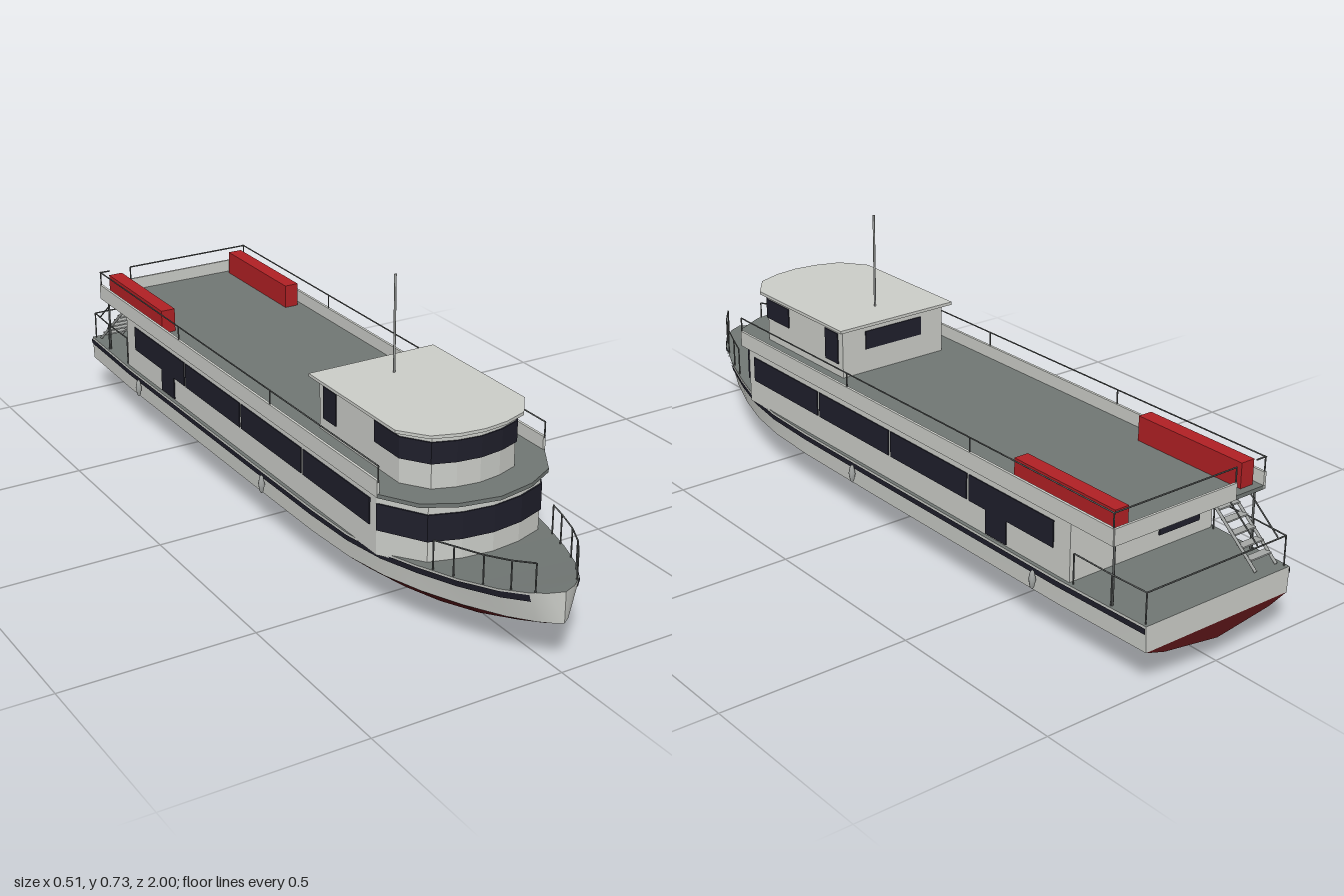
import * as THREE from 'three';

const mat = (name, color, side = THREE.FrontSide) => {
  const m = new THREE.MeshStandardMaterial({ color, side });
  m.name = name;
  return m;
};

export function createModel() {
  const white = mat('white paint', 0xcbcdc8, THREE.DoubleSide);
  const grey = mat('deck grey', 0x707673, THREE.DoubleSide);
  const navy = mat('navy glass', 0x1f1f2b, THREE.DoubleSide);
  const bottomRed = mat('bottom red', 0x561416, THREE.DoubleSide);
  const red = mat('locker red', 0xb02024);
  const rail = mat('rail grey', 0x5a5d5c);
  const metal = mat('metal grey', 0xa4a7a5);

  const model = new THREE.Group();
  const add = (name, geo, m, parent = model) => {
    const mesh = new THREE.Mesh(geo, m);
    mesh.name = name;
    parent.add(mesh);
    return mesh;
  };
  const group = (name) => {
    const g = new THREE.Group();
    g.name = name;
    model.add(g);
    return g;
  };
  // box from its limits
  const box = (name, x0, x1, y0, y1, z0, z1, m, parent) =>
    add(name, new THREE.BoxGeometry(x1 - x0, y1 - y0, z1 - z0), m, parent)
      .position.set((x0 + x1) / 2, (y0 + y1) / 2, (z0 + z1) / 2);
  // thin round bar between two points
  const rod = (name, a, b, r, m, parent) => {
    const p = new THREE.Vector3(...a), q = new THREE.Vector3(...b);
    const mesh = add(name, new THREE.CylinderGeometry(r, r, p.distanceTo(q), 6), m, parent);
    mesh.position.copy(p).add(q).multiplyScalar(0.5);
    mesh.quaternion.setFromUnitVectors(new THREE.Vector3(0, 1, 0), q.sub(p).normalize());
  };
  const path = (name, pts, r, m, parent) => {
    for (let i = 1; i < pts.length; i++) rod(name, pts[i - 1], pts[i], r, m, parent);
  };
  // upright prism from half an outline [x, z], mirrored in x
  const prism = (name, half, y0, y1, m, parent) => {
    const pts = [...half, ...half.filter((p) => p[0] > 0).reverse().map(([x, z]) => [-x, z])];
    const shape = new THREE.Shape(pts.map(([x, z]) => new THREE.Vector2(x, -z)));
    const geo = new THREE.ExtrudeGeometry(shape, { depth: y1 - y0, bevelEnabled: false });
    geo.rotateX(-Math.PI / 2).translate(0, y0, 0);
    add(name, geo, m, parent);
  };
  // smooth strip between two edges
  const strip = (name, a, b, m, parent, flip = false) => {
    const pos = [], idx = [];
    a.forEach((p, i) => {
      pos.push(...p, ...b[i]);
      if (!i) return;
      const k = 2 * i;
      if (flip) idx.push(k - 2, k, k - 1, k - 1, k, k + 1);
      else idx.push(k - 2, k - 1, k, k - 1, k + 1, k);
    });
    const geo = new THREE.BufferGeometry();
    geo.setAttribute('position', new THREE.Float32BufferAttribute(pos, 3));
    geo.setIndex(idx);
    geo.computeVertexNormals();
    add(name, geo, m, parent);
  };

  // hull stations: z, deck half width, deck y, waterline half width, y, chine half width, y, keel y
  const stations = [
    [1, 0, 0.205, 0, 0.126, 0, 0.126, 0.126],
    [0.985, 0.035, 0.204, 0.022, 0.125, 0.01, 0.121, 0.118],
    [0.96, 0.068, 0.202, 0.045, 0.123, 0.024, 0.114, 0.108],
    [0.9, 0.108, 0.195, 0.085, 0.119, 0.05, 0.1, 0.087],
    [0.8, 0.15, 0.185, 0.132, 0.113, 0.088, 0.08, 0.06],
    [0.69, 0.185, 0.177, 0.173, 0.108, 0.12, 0.066, 0.038],
    [0.58, 0.213, 0.17, 0.203, 0.104, 0.145, 0.058, 0.018],
    [0.46, 0.229, 0.167, 0.222, 0.102, 0.163, 0.053, 0.002],
    [0.3, 0.234, 0.166, 0.23, 0.101, 0.17, 0.05, 0],
    [0, 0.235, 0.166, 0.231, 0.1, 0.17, 0.05, 0.002],
    [-0.72, 0.235, 0.166, 0.231, 0.1, 0.17, 0.056, 0.015],
    [-1, 0.225, 0.166, 0.222, 0.1, 0.165, 0.083, 0.06],
  ];
  const hull = group('hull');
  for (const s of [1, -1]) {
    const deck = stations.map((t) => [s * t[1], t[2], t[0]]);
    const water = stations.map((t) => [s * t[3], t[4], t[0]]);
    const chine = stations.map((t) => [s * t[5], t[6], t[0]]);
    const keel = stations.map((t) => [0, t[7], t[0]]);
    strip('hullSide', deck, water, white, hull, s > 0);
    strip('hullBilge', water, chine, bottomRed, hull, s > 0);
    strip('hullBottom', chine, keel, bottomRed, hull, s > 0);
    // painted sheer stripe
    const at = (f) => stations.slice(2).map((t) => [
      s * (t[1] + (t[3] - t[1]) * f + 0.003), t[2] + (t[4] - t[2]) * f, t[0]]);
    strip('sheerStripe', at(0.06), at(0.29), navy, hull, s > 0);
  }
  strip('mainDeck', stations.map((t) => [-t[1], t[2], t[0]]),
    stations.map((t) => [t[1], t[2], t[0]]), grey, hull, true);
  // transom
  strip('transom', [[-0.225, 0.166, -1], [0.225, 0.166, -1]],
    [[-0.222, 0.1, -1], [0.222, 0.1, -1]], white, hull, true);
  strip('transomBottom', [[-0.222, 0.1, -1], [-0.165, 0.1, -1], [0, 0.1, -1], [0.165, 0.1, -1], [0.222, 0.1, -1]],
    [[-0.222, 0.1, -1], [-0.165, 0.083, -1], [0, 0.06, -1], [0.165, 0.083, -1], [0.222, 0.1, -1]], bottomRed, hull, true);

  // passenger cabin
  const cabin = group('cabin');
  const cabinNose = [[0.225, 0.58], [0.157, 0.69], [0.08, 0.717], [0, 0.727]];
  const grow = (pts, d) => pts.map(([x, z]) => [x > 0 ? x + d : 0, z + d]);
  prism('cabinWalls', [[0.225, -0.75], ...cabinNose], 0.164, 0.322, white, cabin);
  prism('cabinFrontWindow', grow(cabinNose, 0.003), 0.23, 0.298, navy, cabin);
  for (const s of [1, -1]) {
    const x0 = s > 0 ? 0.224 : -0.228;
    for (let i = 0; i < 4; i++) {
      const z1 = 0.553 - i * 0.314;
      box('cabinSideWindow', x0, x0 + 0.004, 0.232, 0.3, z1 - 0.305, z1, navy, cabin);
    }
    box('cabinSideDoor', x0, x0 + 0.004, 0.17, 0.24, -0.528, -0.452, navy, cabin);
  }
  box('cabinRearDoor', -0.18, -0.05, 0.2, 0.3, -0.754, -0.748, navy, cabin);

  // upper deck with side walls
  const upper = group('upperDeck');
  prism('upperDeckSlab', [[0.235, -0.9], [0.235, 0.6], [0.18, 0.69], [0.1, 0.733], [0, 0.752]],
    0.321, 0.331, grey, upper);
  for (const s of [1, -1]) {
    const x0 = s > 0 ? 0.23 : -0.237;
    box('upperBulwark', x0, x0 + 0.007, 0.322, 0.365, -0.9, 0.6, white, upper);
    const b = s * 0.195;
    box('redLocker', b - 0.02, b + 0.02, 0.33, 0.396, -0.88, -0.54, red, upper);
    rod('upperRail', [s * 0.234, 0.402, 0.6], [s * 0.234, 0.402, -0.9], 0.002, rail, upper);
    for (const z of [0.6, 0.1, -0.4, -0.897])
      rod('upperRailPost', [s * 0.234, 0.36, z], [s * 0.234, 0.402, z], 0.002, rail, upper);
    rod('deckSupport', [s * 0.218, 0.165, -0.885], [s * 0.218, 0.322, -0.885], 0.003, rail, upper);
  }
  box('rearBulwark', -0.14, 0.235, 0.322, 0.365, -0.902, -0.896, white, upper);
  path('rearRail', [[-0.14, 0.36, -0.897], [-0.14, 0.402, -0.897], [0.234, 0.402, -0.897]], 0.002, rail, upper);
  rod('rearRail', [-0.234, 0.402, -0.897], [-0.205, 0.402, -0.897], 0.002, rail, upper);

  // wheelhouse
  const house = group('wheelhouse');
  const houseNose = [[0.162, 0.575], [0.117, 0.64], [0.06, 0.66], [0, 0.668]];
  prism('wheelhouseWalls', [[0.162, 0.22], ...houseNose], 0.33, 0.465, white, house);
  prism('wheelhouseFrontWindow', grow([[0.162, 0.468], ...houseNose], 0.003), 0.395, 0.449, navy, house);
  prism('wheelhouseRoof', [[0.181, 0.2], [0.181, 0.585], [0.13, 0.652], [0.065, 0.675], [0, 0.683]],
    0.464, 0.472, white, house);
  for (const s of [1, -1]) {
    const x0 = s > 0 ? 0.161 : -0.165;
    box('wheelhouseDoorWindow', x0, x0 + 0.004, 0.365, 0.449, 0.24, 0.298, navy, house);
  }
  box('wheelhouseRearWindow', -0.09, 0.09, 0.395, 0.445, 0.217, 0.222, navy, house);
  rod('mast', [0, 0.47, 0.3], [0, 0.725, 0.3], 0.003, metal, house);

  // bow and stern railings, fenders
  const fittings = group('fittings');
  for (const s of [1, -1]) {
    const bow = [[0.057, 0.2, 0.965], [0.09, 0.196, 0.92], [0.122, 0.19, 0.86], [0.15, 0.183, 0.785], [0.168, 0.179, 0.73]]
      .map(([x, y, z]) => [s * x, y, z]);
    const top = bow.map(([x, , z], i) => [x, 0.275 - i * 0.005, z]);
    path('bowRail', top, 0.002, rail, fittings);
    bow.forEach((p, i) => rod('bowRailPost', p, top[i], 0.002, rail, fittings));
    const stern = [[s * 0.222, 0.243, -0.76], [s * 0.222, 0.243, -0.885], [s * 0.217, 0.243, -0.99]];
    path('sternRail', stern, 0.002, rail, fittings);
    for (const [x, y, z] of stern) rod('sternRailPost', [x, 0.165, z], [x, y, z], 0.002, rail, fittings);
    for (const z of [0.07, -0.645]) {
      const profile = [[0, -0.026], [0.005, -0.02], [0.009, 0], [0.005, 0.02], [0, 0.026]]
        .map(([r, y]) => new THREE.Vector2(r, y));
      add('fender', new THREE.LatheGeometry(profile, 8), metal, fittings).position.set(s * 0.245, 0.136, z);
    }
  }
  rod('sternRail', [-0.217, 0.243, -0.99], [0.217, 0.243, -0.99], 0.002, rail, fittings);

  // stairs to the upper deck
  const stairs = group('stairs');
  for (const x of [-0.207, -0.14]) {
    rod('stairStringer', [x, 0.168, -0.975], [x, 0.322, -0.79], 0.004, metal, stairs);
    rod('stairHandrail', [x, 0.235, -0.975], [x, 0.322, -0.87], 0.002, rail, stairs);
  }
  for (let i = 1; i < 7; i++) {
    const y = 0.168 + i * 0.022, z = -0.975 + i * 0.0264;
    box('stairTread', -0.207, -0.14, y - 0.002, y + 0.002, z - 0.011, z + 0.011, metal, stairs);
  }
  return model;
}
